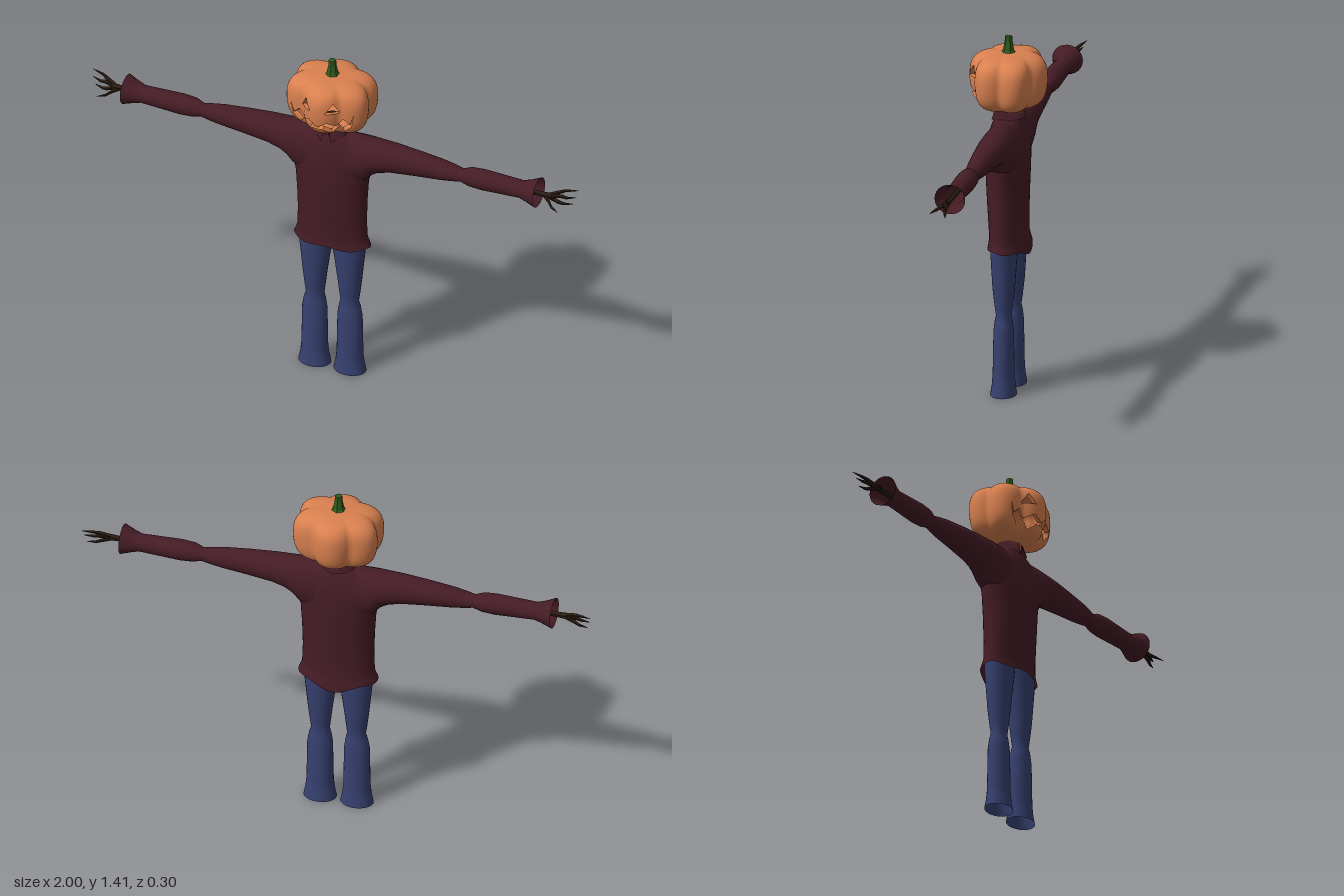
import * as THREE from 'three';

const mat = (color, flatShading = false) =>
  new THREE.MeshStandardMaterial({ color, flatShading, side: THREE.DoubleSide });
const V = (x, y, z) => new THREE.Vector3(x, y, z);
const ORANGE = 0xd9804f, SHIRT = 0x451c25, JEANS = 0x36406f, TWIG = 0x2a1c12, STEM = 0x2f5a1e;

// Skin a list of rings; closed rings wrap around
function loft(rings, closed = true) {
  const n = rings[0].length, idx = [];
  for (let i = 0; i < rings.length - 1; i++)
    for (let j = 0; j < (closed ? n : n - 1); j++) {
      const k = (j + 1) % n, a = i * n + j, b = i * n + k, c = a + n, d = b + n;
      idx.push(a, c, b, b, c, d);
    }
  const g = new THREE.BufferGeometry().setFromPoints(rings.flat());
  g.setIndex(idx);
  g.computeVertexNormals();
  return g;
}

// Ring of n points around a full turn
const ring = (n, f) => Array.from({ length: n }, (_, j) => f((j / n) * Math.PI * 2));
// Horizontal ellipse with separate front and back depths
const flatRing = (n, cx, y, hx, zf, zb, dy = () => 0) => ring(n, a =>
  V(cx + hx * Math.cos(a), y + dy(a), Math.sin(a) * (Math.sin(a) > 0 ? zf : zb)));
// Upright ellipse across an arm or twig, on side s
const sideRing = (n, s, x, y, z, hy, hz) => ring(n, a =>
  V(s * x, y + hy * Math.cos(a), z - s * hz * Math.sin(a)));

function add(parent, name, geometry, material) {
  const m = new THREE.Mesh(geometry, material);
  m.name = name;
  parent.add(m);
  return m;
}

// ---- Pumpkin with carved face ----
const CENTER_Y = 1.235;
function pumpkinGeometry() {
  const rings = [];
  for (let i = 0; i <= 28; i++) {
    const t = (-0.5 + i / 28) * Math.PI * 0.9999;
    const r = Math.pow(Math.cos(t), 0.5);
    const y = Math.sign(t) * Math.pow(Math.abs(Math.sin(t)), 0.62) * 0.108;
    rings.push(ring(72, a => {
      const R = r * (0.147 + 0.032 * Math.abs(Math.sin(3 * a))) * (y < 0 ? 1 + y * 0.6 : 1);
      return V(R * Math.cos(a), y, R * Math.sin(a) * 0.84);
    }));
  }
  return loft(rings);
}

// Half outline of the mouth, mirrored into the full zigzag
const upper = [[0.13, 1.245], [0.115, 1.2], [0.09, 1.225], [0.065, 1.19], [0.035, 1.212]];
const lower = [[0.12, 1.19], [0.09, 1.16], [0.07, 1.186], [0.045, 1.152], [0.02, 1.176]];
const flip = pts => pts.map(([x, y]) => [-x, y]);
const eye = [[0.03, 1.253], [0.078, 1.25], [0.055, 1.295]];
const holes = [eye, flip(eye).reverse(),
  [...upper, [0, 1.186], ...flip(upper).reverse(), ...flip(lower), ...lower.slice().reverse()],
].map(h => h.map(([x, y]) => new THREE.Vector2(x, y - CENTER_Y)));

// Remove a counter-clockwise triangle (in xy) from a convex polygon
function subtract(poly, tri) {
  const out = [];
  let inside = poly;
  for (let e = 0; e < 3; e++) {
    const p = tri[e], q = tri[(e + 1) % 3], ins = [], outs = [];
    const d = v => (q.x - p.x) * (v[1] - p.y) - (q.y - p.y) * (v[0] - p.x);
    inside.forEach((v, i) => {
      const w = inside[(i + 1) % inside.length], dv = d(v), dw = d(w);
      (dv >= 0 ? ins : outs).push(v);
      if ((dv >= 0) !== (dw >= 0)) {
        const m = v.map((c, k) => c + (w[k] - c) * dv / (dv - dw));
        ins.push(m);
        outs.push(m);
      }
    });
    if (outs.length > 2) out.push(outs);
    inside = ins;
    if (inside.length < 3) return [poly];
  }
  return out;
}

function buildPumpkin() {
  const group = new THREE.Group();
  group.name = 'pumpkinHead';
  group.position.y = CENTER_Y;
  const whole = pumpkinGeometry();
  const cutters = holes.flatMap(h => THREE.ShapeUtils.triangulateShape(h, []).map(f => {
    const t = f.map(i => h[i]);
    return THREE.ShapeUtils.area(t) < 0 ? t.reverse() : t;
  }));
  // Cut the face openings out of the front of the shell
  const P = whole.attributes.position, N = whole.attributes.normal, pos = [], nor = [];
  const index = whole.index.array;
  for (let i = 0; i < index.length; i += 3) {
    const tri = [0, 1, 2].map(k => index[i + k]).map(v =>
      [P.getX(v), P.getY(v), P.getZ(v), N.getX(v), N.getY(v), N.getZ(v)]);
    let polys = [tri];
    if (tri.every(v => v[2] > 0.01))
      for (const c of cutters) polys = polys.flatMap(p => subtract(p, c));
    for (const p of polys)
      for (let k = 1; k < p.length - 1; k++)
        for (const v of [p[0], p[k], p[k + 1]]) {
          pos.push(...v.slice(0, 3));
          nor.push(...v.slice(3));
        }
  }
  const shell = new THREE.BufferGeometry();
  shell.setAttribute('position', new THREE.Float32BufferAttribute(pos, 3));
  shell.setAttribute('normal', new THREE.Float32BufferAttribute(nor, 3));
  const skin = mat(ORANGE), T = 0.88;
  add(group, 'pumpkinSkin', shell, skin);
  add(group, 'pumpkinInside', shell, skin).scale.setScalar(T);

  // Thickness of the carved edges
  const target = new THREE.Mesh(whole, skin), ray = new THREE.Raycaster();
  holes.forEach((h, n) => {
    const rim = [];
    h.forEach((p, i) => {
      for (let k = 0; k < 6; k++) {
        const q = p.clone().lerp(h[(i + 1) % h.length], k / 6);
        ray.set(V(q.x, q.y, 1), V(0, 0, -1));
        const hit = ray.intersectObject(target)[0];
        if (hit) rim.push(hit.point.clone());
      }
    });
    const wall = loft([rim, rim.map(p => p.clone().multiplyScalar(T))]).toNonIndexed();
    wall.computeVertexNormals();
    add(group, n < 2 ? 'eyeEdge' : 'mouthEdge', wall, skin);
  });

  // Six-sided stem
  const profile = [[0.034, 0.098], [0.022, 0.115], [0.016, 0.145], [0.014, 0.17], [0, 0.174]];
  add(group, 'stem', new THREE.LatheGeometry(
    profile.map(([r, y]) => new THREE.Vector2(r, y)), 6), mat(STEM, true));
  return group;
}

export function createModel() {
  const model = new THREE.Group();
  const cloth = mat(SHIRT), denim = mat(JEANS), wood = mat(TWIG, true);
  model.add(buildPumpkin());

  // Shirt body: height, half width, front depth, back depth
  const torso = [[0.582, 0.156, 0.071, 0.084], [0.597, 0.15, 0.068, 0.077], [0.62, 0.142, 0.066, 0.072],
    [0.7, 0.139, 0.072, 0.072], [0.8, 0.142, 0.078, 0.075], [0.88, 0.147, 0.081, 0.078],
    [0.94, 0.16, 0.081, 0.078], [1.0, 0.16, 0.075, 0.075], [1.04, 0.145, 0.066, 0.066],
    [1.07, 0.11, 0.056, 0.056], [1.088, 0.07, 0.048, 0.048], [1.1, 0.045, 0.04, 0.04]];
  const hem = a => 0.005 * Math.sin(5 * a) - 0.03 * Math.max(0, -Math.sin(a)) ** 4;
  add(model, 'shirtBody', loft(torso.map(([y, hx, zf, zb], i) =>
    flatRing(40, 0, y, hx, zf, zb, i === 0 ? hem : undefined))), cloth);

  // Folded collar, open at the front with two points
  const collarRow = (y, r, drop, gap) => Array.from({ length: 33 }, (_, j) => {
    const u = j / 16 - 1, a = Math.PI / 2 + gap + (j / 32) * (Math.PI * 2 - 2 * gap);
    return V(r * Math.cos(a), y - drop * u ** 8, r * Math.sin(a));
  });
  add(model, 'collar', loft([collarRow(1.088, 0.066, 0.022, 0.3), collarRow(1.128, 0.05, 0.006, 0.12),
    collarRow(1.07, 0.045, 0, 0.08)], false), cloth);
  add(model, 'neck', new THREE.CylinderGeometry(0.03, 0.035, 0.1, 12).translate(0, 1.1, 0), wood);

  // Sleeve: distance out, top, bottom, half depth
  const sleeve = [[0, 1.088, 0.86, 0.068], [0.1, 1.09, 0.87, 0.068], [0.145, 1.089, 0.9, 0.067],
    [0.17, 1.087, 0.93, 0.065], [0.2, 1.085, 0.95, 0.062], [0.25, 1.083, 0.965, 0.058],
    [0.35, 1.076, 0.976, 0.049], [0.45, 1.066, 0.985, 0.04], [0.5, 1.057, 0.992, 0.034],
    [0.535, 1.049, 0.999, 0.028], [0.57, 1.064, 0.989, 0.037], [0.62, 1.068, 0.986, 0.04],
    [0.78, 1.062, 0.994, 0.036], [0.81, 1.072, 0.986, 0.045], [0.85, 1.09, 0.973, 0.06]];

  // Leg: height, inner x, outer x, half depth
  const leg = [[0, 0.008, 0.137, 0.05], [0.04, 0.016, 0.129, 0.044], [0.08, 0.02, 0.125, 0.041],
    [0.25, 0.023, 0.122, 0.038], [0.29, 0.029, 0.115, 0.034], [0.315, 0.035, 0.107, 0.029],
    [0.35, 0.031, 0.112, 0.034], [0.42, 0.023, 0.12, 0.042], [0.52, 0.009, 0.13, 0.048],
    [0.57, 0, 0.135, 0.051], [0.64, -0.01, 0.135, 0.052]];

  // Twig branches: x, y, z, radius
  const twigs = {
    wrist: [[0.6, 1.03, 0, 0.012], [0.86, 1.03, 0, 0.011], [0.905, 1.03, 0, 0.014], [0.92, 1.03, -0.004, 0.002]],
    upperFinger: [[0.89, 1.033, 0, 0.009], [0.935, 1.05, -0.014, 0.008], [0.955, 1.056, -0.022, 0.006], [1, 1.06, -0.034, 0.001]],
    middleFinger: [[0.89, 1.03, 0, 0.009], [0.94, 1.034, -0.01, 0.008], [0.96, 1.03, -0.012, 0.006], [0.995, 1.034, -0.022, 0.001]],
    lowerFinger: [[0.89, 1.026, 0, 0.009], [0.93, 1.01, -0.002, 0.008], [0.95, 1.003, -0.008, 0.006], [0.985, 1.004, -0.018, 0.001]],
    thumb: [[0.87, 1.028, 0, 0.008], [0.9, 1.018, 0.02, 0.008], [0.918, 1.008, 0.038, 0.006], [0.95, 1.002, 0.053, 0.001]],
  };

  for (const s of [1, -1]) {
    const side = s > 0 ? 'left' : 'right';
    add(model, side + 'Sleeve', loft(sleeve.map(([x, t, b, hz]) =>
      sideRing(24, s, x, (t + b) / 2, 0, (t - b) / 2, hz))), cloth);
    add(model, side + 'TrouserLeg', loft(leg.map(([y, xi, xo, hz]) =>
      flatRing(24, s * (xi + xo) / 2, y, (xo - xi) / 2, hz, hz))), denim);
    const hand = new THREE.Group();
    hand.name = side + 'Hand';
    for (const [name, path] of Object.entries(twigs))
      add(hand, name, loft(path.map(([x, y, z, r]) => sideRing(5, s, x, y, z, r, r))), wood);
    model.add(hand);
  }
  return model;
}
